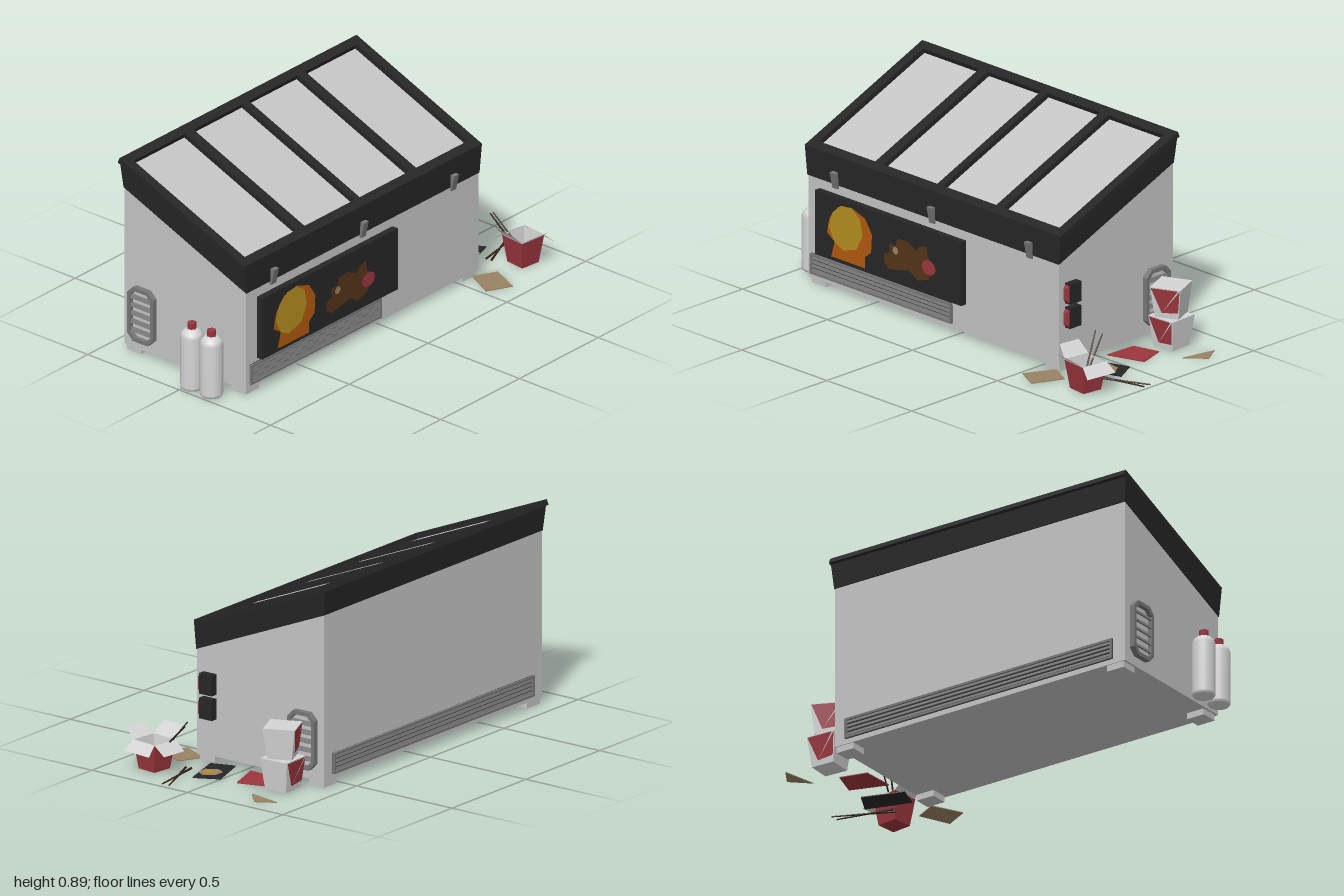
import * as THREE from 'three';

const mat = (name, color, both) => {
  const m = new THREE.MeshStandardMaterial({ color });
  m.name = name;
  if (both) m.side = THREE.DoubleSide;
  return m;
};
const M = {
  body: mat('wallGrey', 0xc4c4c4), white: mat('cartonWhite', 0xd4d4d4, true), black: mat('trimBlack', 0x262626),
  grey: mat('ventGrey', 0x777777), red: mat('red', 0x9c363e), tan: mat('cardboard', 0x9a8263),
  orange: mat('orange', 0xb0590f), yellow: mat('yellow', 0xb48f20), brown: mat('brown', 0x553419), wood: mat('darkWood', 0x38261a),
};

function add(parent, name, geo, material, x = 0, y = 0, z = 0) {
  const m = new THREE.Mesh(geo, material);
  m.name = name;
  m.position.set(x, y, z);
  parent.add(m);
  return m;
}
function group(parent, name, x = 0, y = 0, z = 0, ry = 0) {
  const g = new THREE.Group();
  g.name = name;
  g.position.set(x, y, z);
  g.rotation.y = ry;
  parent.add(g);
  return g;
}
const box = (p, name, m, w, h, d, x, y, z) => add(p, name, new THREE.BoxGeometry(w, h, d), m, x, y, z);

// Flat-shaded polygons, fanned from their first corner
function polys(list) {
  const pos = [];
  for (const f of list) for (let i = 1; i < f.length - 1; i++) pos.push(...f[0], ...f[i], ...f[i + 1]);
  const g = new THREE.BufferGeometry();
  g.setAttribute('position', new THREE.Float32BufferAttribute(pos, 3));
  g.computeVertexNormals();
  return g;
}
// Six-sided solid from a lower and upper ring: front left, front right, back right, back left
function hexa(lower, upper, open) {
  const p = [...lower, ...upper];
  const f = [[0, 3, 2, 1], [0, 1, 5, 4], [1, 2, 6, 5], [2, 3, 7, 6], [3, 0, 4, 7]];
  if (!open) f.push([4, 5, 6, 7]);
  return polys(f.map(q => q.map(i => p[i])));
}
const ring = (x0, x1, zf, zb, yf, yb = yf) => [[x0, yf, zf], [x1, yf, zf], [x1, yb, zb], [x0, yb, zb]];
const square = (h, y) => ring(-h, h, h, -h, y);
const shapeOf = pts => new THREE.Shape(pts.map(p => new THREE.Vector2(p[0], p[1])));
const rect = (x0, x1, y0, y1) => [[x0, y0], [x1, y0], [x1, y1], [x0, y1]];

// Long louvred vent facing +z
function longVent(parent, name, w, x, y, z, ry) {
  const g = group(parent, name, x, y, z, ry), h = 0.09;
  box(g, 'ventBack', M.black, w, h, 0.004, 0, 0, 0.002);
  for (const s of [-1, 1]) {
    box(g, 'ventRail', M.grey, w, 0.01, 0.012, 0, s * (h / 2 - 0.005), 0.006);
    box(g, 'ventEnd', M.grey, 0.01, h, 0.012, s * (w / 2 - 0.005), 0, 0.006);
  }
  for (let i = 0; i < 4; i++) box(g, 'ventSlat', M.grey, w - 0.02, 0.014, 0.004, 0, -0.027 + i * 0.018, 0.006).rotation.x = -0.4;
}

// Chamfered side vent facing +z
function sideVent(parent, x, ry) {
  const g = group(parent, 'sideVent', x, 0.207, -0.31, ry);
  const oct = (w, h, c) => [[-w + c, -h], [w - c, -h], [w, -h + c], [w, h - c], [w - c, h], [-w + c, h], [-w, h - c], [-w, -h + c]];
  const s = shapeOf(oct(0.07, 0.125, 0.03));
  s.holes.push(shapeOf(oct(0.056, 0.108, 0.024)));
  add(g, 'sideVentFrame', new THREE.ExtrudeGeometry(s, { depth: 0.024, bevelEnabled: false }), M.grey);
  add(g, 'sideVentBack', new THREE.ShapeGeometry(shapeOf(oct(0.06, 0.11, 0.024))), M.body, 0, 0, 0.004);
  for (let i = 0; i < 5; i++) box(g, 'sideVentSlat', M.grey, 0.112, 0.02, 0.006, 0, -0.076 + i * 0.038, 0.014).rotation.x = -0.5;
}

// Round stick between two points
function stick(parent, a, b) {
  const p = new THREE.Vector3(...a), q = new THREE.Vector3(...b), d = q.clone().sub(p);
  const m = add(parent, 'chopstick', new THREE.CylinderGeometry(0.005, 0.003, d.length(), 6), M.wood);
  m.position.copy(p).add(q).multiplyScalar(0.5);
  m.quaternion.setFromUnitVectors(new THREE.Vector3(0, 1, 0), d.normalize());
}

// Thin sheet lying on the ground, from x,z corners
function sheet(parent, name, m, pts, y = 0.012) {
  const g = new THREE.ExtrudeGeometry(shapeOf(pts.map(([x, z]) => [x, -z])), { depth: 0.004, bevelEnabled: false });
  add(parent, name, g.rotateX(-Math.PI / 2), m, 0, y, 0);
}

// Closed tapered carton with a red wedge on front and back
function closedCarton(parent, x, y, z, ry) {
  const g = group(parent, 'closedCarton', x, y, z, ry), b = 0.053, t = 0.068, h = 0.135;
  add(g, 'cartonBody', hexa(square(b, 0), square(t, h)), M.white);
  const e = 0.0015;
  for (const r of [0, Math.PI]) {
    const w = add(g, 'cartonWedge', polys([[[-0.02, 0.022, b + 0.0025 + e], [t - 0.012, h - 0.004, t + e], [-t + 0.004, h - 0.004, t + e]],
      [[-0.02, 0.022, b + 0.0025 + e], [b, 0.03, b + 0.0033 + e], [t - 0.004, h - 0.004, t + e]]]), M.red);
    w.rotation.y = r;
  }
}

export function createModel() {
  const root = new THREE.Group();
  root.name = 'foodKiosk';

  // Hull with sloping top, and feet
  add(root, 'hull', hexa(ring(-0.865, 0.61, 0.25, -0.415, 0.04), ring(-0.865, 0.61, 0.25, -0.415, 0.5, 0.775)), M.body);
  for (const x of [-0.813, 0.563]) for (const z of [0.2, -0.372]) box(root, 'foot', M.body, 0.085, 0.028, 0.078, x, 0.027, z);

  // Flared black roof band
  add(root, 'roofBand', hexa(ring(-0.868, 0.613, 0.253, -0.418, 0.49, 0.765), ring(-0.88, 0.625, 0.256, -0.43, 0.62, 0.9), true), M.black);

  // Roof frame and recessed panes on the slope
  const slope = Math.atan2(0.28, 0.686), len = Math.hypot(0.28, 0.686);
  const roof = group(root, 'roof', 0, 0.62, 0.256);
  roof.rotation.x = slope - Math.PI / 2;
  const frame = shapeOf(rect(-0.88, 0.625, 0, len));
  for (const [a, b] of [[-0.835, -0.505], [-0.455, -0.14], [-0.105, 0.207], [0.253, 0.58]]) {
    frame.holes.push(shapeOf(rect(a, b, 0.043, len - 0.043)));
    add(roof, 'roofPane', new THREE.PlaneGeometry(b - a + 0.01, len - 0.07), M.body, (a + b) / 2, len / 2, -0.022);
  }
  add(roof, 'roofFrame', new THREE.ExtrudeGeometry(frame, { depth: 0.025, bevelEnabled: false }), M.black, 0, 0, -0.025);

  // Wedge brackets under the front edge
  for (const x of [-0.7, -0.13, 0.443])
    add(root, 'bracket', hexa(ring(x - 0.015, x + 0.015, 0.259, 0.25, 0.475), ring(x - 0.015, x + 0.015, 0.275, 0.25, 0.548)), M.grey);

  // Front sign with painted food and animal
  const sign = group(root, 'frontSign', 0, 0, 0.279);
  box(sign, 'signBoard', M.black, 0.86, 0.283, 0.03, -0.366, 0.307, -0.015);
  const paint = (name, m, z, pts) => add(sign, name, new THREE.ShapeGeometry(shapeOf(pts)), m, 0, 0, z);
  paint('paintedBowl', M.orange, 0.001, [[-0.7, 0.18], [-0.5, 0.18], [-0.5, 0.23], [-0.465, 0.26], [-0.46, 0.34], [-0.5, 0.4], [-0.58, 0.427], [-0.66, 0.41], [-0.71, 0.35], [-0.725, 0.28], [-0.68, 0.25]]);
  paint('paintedBun', M.yellow, 0.002, [[-0.68, 0.25], [-0.63, 0.225], [-0.55, 0.25], [-0.515, 0.32], [-0.53, 0.39], [-0.58, 0.425], [-0.64, 0.42], [-0.69, 0.38], [-0.715, 0.31]]);
  paint('paintedAnimal', M.brown, 0.001, [[-0.39, 0.24], [-0.36, 0.215], [-0.31, 0.225], [-0.24, 0.24], [-0.19, 0.21], [-0.13, 0.23], [-0.1, 0.29], [-0.13, 0.33], [-0.14, 0.375], [-0.18, 0.365], [-0.2, 0.34], [-0.25, 0.365], [-0.31, 0.365], [-0.32, 0.33], [-0.36, 0.33], [-0.355, 0.29], [-0.39, 0.275]]);
  add(sign, 'paintedTongue', new THREE.CircleGeometry(0.042, 10), M.red, -0.125, 0.285, 0.003).scale.y = 0.8;
  add(sign, 'paintedEye', new THREE.CircleGeometry(0.017, 8), M.tan, -0.32, 0.308, 0.003);

  // Vents
  longVent(root, 'frontVent', 0.83, -0.43, 0.105, 0.25, 0);
  longVent(root, 'backVent', 1.36, -0.125, 0.107, -0.415, Math.PI);
  sideVent(root, 0.61, Math.PI / 2);
  sideVent(root, -0.865, -Math.PI / 2);

  // Signal lamps on the right wall
  for (const y of [0.355, 0.248]) {
    box(root, 'lampCase', M.black, 0.034, 0.09, 0.066, 0.624, y, 0.183);
    const lens = add(root, 'lampLens', hexa(ring(-0.013, 0.013, 0.038, -0.038, 0), ring(-0.008, 0.008, 0.026, -0.026, 0.013)), M.red, 0.624, y, 0.216);
    lens.rotation.x = Math.PI / 2;
  }

  // Gas bottles
  const profile = [[0, 0.015], [0.042, 0.015], [0.048, 0.022], [0.049, 0.03], [0.049, 0.255], [0.044, 0.272], [0.03, 0.285], [0.018, 0.29], [0, 0.29]];
  for (const z of [0.028, 0.135]) {
    const g = group(root, 'gasBottle', -0.951, 0, z);
    add(g, 'bottleBody', new THREE.LatheGeometry(profile.map(p => new THREE.Vector2(...p)), 20), M.white);
    add(g, 'bottleCap', new THREE.CylinderGeometry(0.02, 0.02, 0.03, 6), M.red, 0, 0.302, 0);
  }

  // Stacked cartons
  closedCarton(root, 0.728, 0.02, -0.29, 0.05);
  closedCarton(root, 0.728, 0.158, -0.288, 0.42);

  // Open carton with flaps and chopsticks
  const carton = group(root, 'openCarton', 0.825, 0, 0.308, -0.12);
  add(carton, 'cartonOutside', hexa(square(0.046, 0.014), square(0.062, 0.138), true), M.red);
  add(carton, 'cartonInside', hexa(square(0.043, 0.018), square(0.059, 0.14), true), M.white);
  const flaps = [['flapLeft', Math.PI, 0.11, 0.19, 0.05], ['flapRight', 0, 0.108, 0.1, 0.074], ['flapFront', -Math.PI / 2, 0.112, 0.177, 0.05], ['flapBack', Math.PI / 2, 0.115, 0.1, 0.06]];
  for (const [name, ry, out, y, w] of flaps)
    add(carton, name, hexa(ring(0.062, out, 0, 0, 0), ring(0.062, out, 0, 0, 0)), M.white).geometry =
      polys([[[0.061, 0.14, 0.062], [out, y, w], [out, y, -w], [0.061, 0.14, -0.062]]]).rotateY(ry);
  stick(root, [0.76, 0.222, 0.185], [0.82, 0.03, 0.32]);
  stick(root, [0.79, 0.212, 0.175], [0.83, 0.03, 0.335]);
  stick(root, [0.995, 0.022, 0.1], [0.745, 0.018, 0.205]);
  stick(root, [0.995, 0.022, 0.135], [0.74, 0.018, 0.18]);

  // Litter sheets on the ground
  sheet(root, 'redSheet', M.red, [[0.61, -0.03], [0.775, -0.085], [0.735, -0.21], [0.615, -0.18]]);
  sheet(root, 'leaflet', M.black, [[0.63, 0.165], [0.83, 0.105], [0.775, 0], [0.595, 0.06]]);
  sheet(root, 'leafletNoodles', M.tan, [[0.68, 0.085], [0.71, 0.13], [0.76, 0.13], [0.78, 0.09], [0.75, 0.045], [0.7, 0.045]], 0.0135);
  sheet(root, 'leafletGarnish', M.yellow, [[0.71, 0.09], [0.73, 0.12], [0.76, 0.1], [0.745, 0.07]], 0.015);
  sheet(root, 'cardSheet', M.tan, [[0.518, 0.37], [0.625, 0.425], [0.685, 0.29], [0.585, 0.238]]);
  sheet(root, 'cardScrap', M.tan, [[0.887, -0.382], [0.856, -0.226], [0.936, -0.302]]);

  return root;
}
